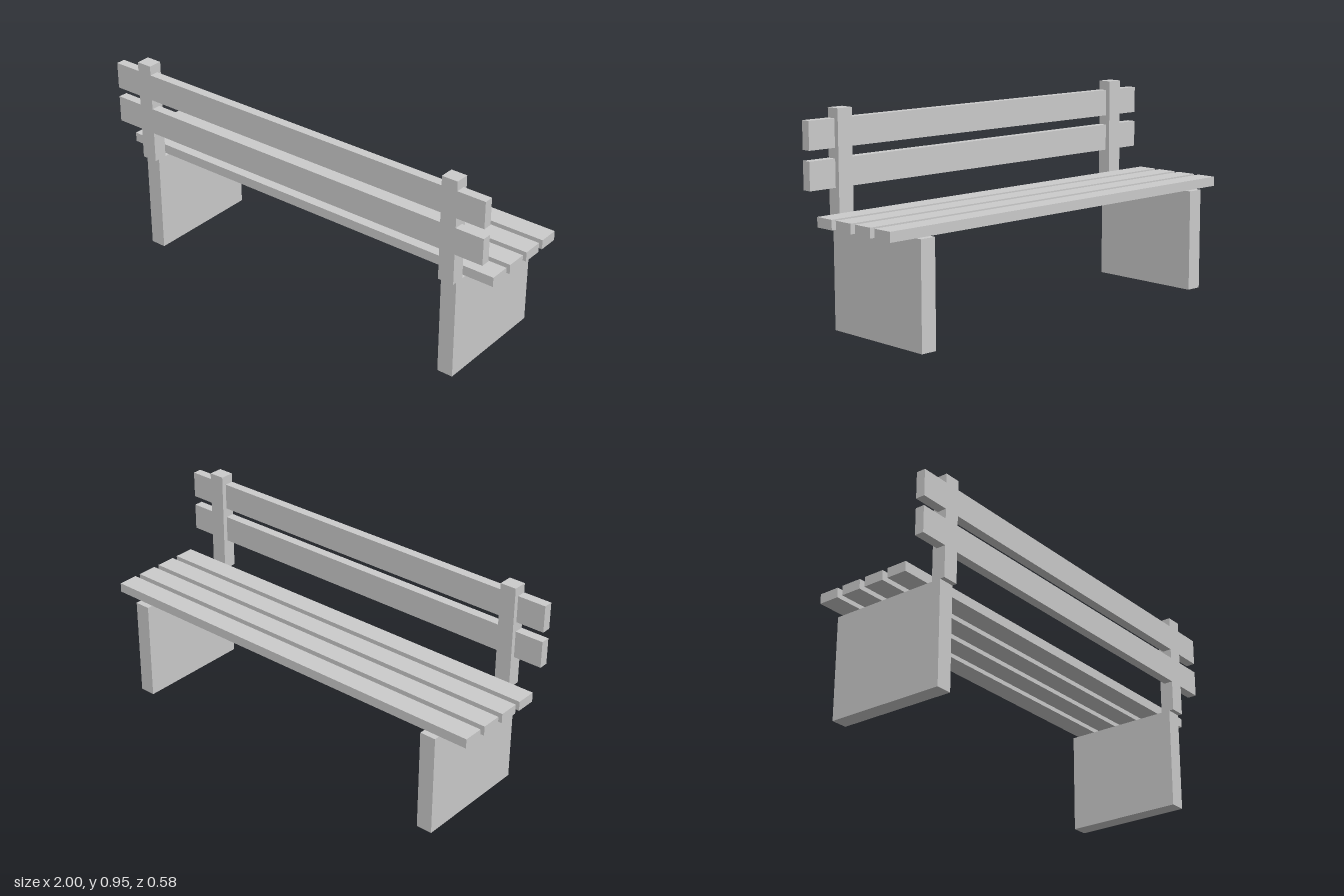
import * as THREE from 'three';

export function createModel() {
  const bench = new THREE.Group();
  bench.name = 'bench';
  const material = new THREE.MeshStandardMaterial({ color: 0xcccccc, flatShading: true });

  // Box given by its [min, max] extent along each axis
  function addBox(name, [x0, x1], [y0, y1], [z0, z1]) {
    const mesh = new THREE.Mesh(new THREE.BoxGeometry(x1 - x0, y1 - y0, z1 - z0), material);
    mesh.position.set((x0 + x1) / 2, (y0 + y1) / 2, (z0 + z1) / 2);
    mesh.name = name;
    bench.add(mesh);
  }

  const seatBottom = 0.468;

  // Panel legs, each with a backrest post at its rear edge
  for (const [side, x] of [['left', 0.829], ['right', -0.829]]) {
    const span = [x - 0.0375, x + 0.0375];
    addBox(side + 'Leg', span, [0, seatBottom], [-0.289, 0.267]);
    addBox(side + 'BackPost', span, [seatBottom, 0.946], [0.224, 0.289]);
  }

  // Four seat slats
  for (let i = 0; i < 4; i++) {
    const z = -0.2135 + i * 0.1225;
    addBox('seatSlat' + (i + 1), [-1, 1], [seatBottom, 0.512], [z - 0.0477, z + 0.0477]);
  }

  // Two backrest slats let into the posts, flush with their outer face
  [0.612, 0.78].forEach((y, i) => {
    addBox('backSlat' + (i + 1), [-1, 1], [y, y + 0.123], [0.246, 0.289]);
  });

  return bench;
}
